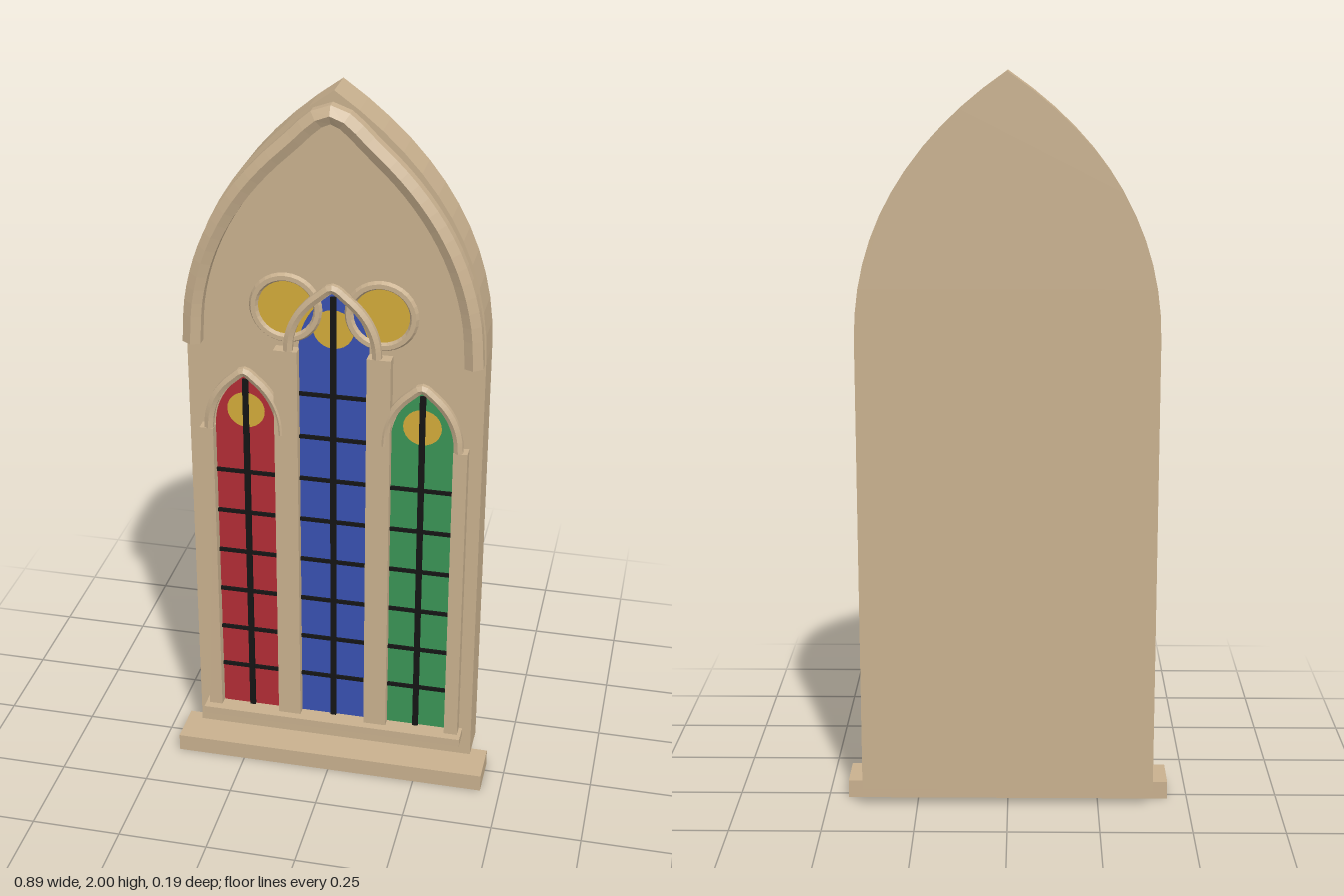
import * as THREE from 'three';

const paint = (name, color, extra = {}) => Object.assign(new THREE.MeshStandardMaterial({ color, ...extra }), { name });

export function createModel() {
  const stone = paint('stone', 0xc8b08e, { flatShading: true });
  const red = paint('red glass', 0xb22d35);
  const blue = paint('blue glass', 0x3850b0);
  const green = paint('green glass', 0x3a9455);
  const gold = paint('gold glass', 0xd2aa3a);
  const lead = paint('lead', 0x141414);

  const model = new THREE.Group();
  model.name = 'archedWindow';

  const add = (name, geometry, material, x = 0, y = 0, z = 0) => {
    const mesh = new THREE.Mesh(geometry, material);
    mesh.name = name;
    mesh.position.set(x, y, z);
    model.add(mesh);
    return mesh;
  };

  // Box given by its extents
  const block = (name, material, x0, x1, y0, y1, z0, z1) =>
    add(name, new THREE.BoxGeometry(x1 - x0, y1 - y0, z1 - z0), material, (x0 + x1) / 2, (y0 + y1) / 2, (z0 + z1) / 2);

  // Pointed arch panel: straight sides to the spring, then curves to the apex
  const archPanel = (name, material, x, half, base, spring, ctrl, apex, z0, z1) => {
    const s = new THREE.Shape();
    s.moveTo(-half, base);
    s.lineTo(half, base);
    s.lineTo(half, spring);
    s.quadraticCurveTo(half, ctrl, 0, apex);
    s.quadraticCurveTo(-half, ctrl, -half, spring);
    s.closePath();
    const g = new THREE.ExtrudeGeometry(s, { depth: z1 - z0, bevelEnabled: false, curveSegments: 12 });
    return add(name, g, material, x, 0, z0);
  };

  // Six-sided moulding following a pointed arch
  const archMoulding = (name, x, half, spring, ctrl, apex, radius, z) => {
    const right = new THREE.QuadraticBezierCurve(
      new THREE.Vector2(half, spring), new THREE.Vector2(half, ctrl), new THREE.Vector2(0, apex)).getPoints(6);
    const points = right.map(p => new THREE.Vector3(-p.x, p.y, 0));
    for (let i = right.length - 2; i >= 0; i--) points.push(new THREE.Vector3(right[i].x, right[i].y, 0));
    const path = new THREE.CatmullRomCurve3(points);
    add(name, new THREE.TubeGeometry(path, 40, radius, 6, false), stone, x, 0, z);

    // End caps on both feet
    for (const side of [-1, 1]) {
      const cap = add(name + 'Foot', new THREE.CircleGeometry(radius, 6), stone, x + side * half, spring, z);
      cap.rotation.set(Math.PI / 2, 0, Math.PI / 2);
    }
  };

  // Wall slab, sill and ledge
  archPanel('wallSlab', stone, 0, 0.4, 0.055, 1.31, 1.73, 2.0, -0.1, 0.006);
  block('sill', stone, -0.445, 0.445, 0, 0.05, -0.028, 0.095);
  block('ledge', stone, -0.375, 0.375, 0.12, 0.143, 0, 0.063);

  // Large hood moulding
  archMoulding('hoodMoulding', 0, 0.375, 1.305, 1.70, 1.952, 0.028, 0.035);

  // Jambs and mullions
  for (const side of [-1, 1]) {
    const m = block('mullion', stone, -0.032, 0.032, 0.14, 1.3, 0, 0.04);
    m.position.x = side * 0.125;
    const j = block('jamb', stone, -0.019, 0.019, 0.14, 1.05, 0, 0.04);
    j.position.x = side * 0.346;
  }

  // Lancet lights with leading, a gold disc and a small hood
  const lancets = [
    { name: 'left', glass: green, x: 0.24, half: 0.086, spring: 1.05, apex: 1.205, hood: 0.1, disc: 1.105, r: 0.052, bars: 6 },
    { name: 'centre', glass: blue, x: 0, half: 0.094, spring: 1.3, apex: 1.465, hood: 0.119, disc: 1.365, r: 0.055, bars: 8 },
    { name: 'right', glass: red, x: -0.24, half: 0.086, spring: 1.05, apex: 1.205, hood: 0.1, disc: 1.105, r: 0.052, bars: 6 },
  ];
  for (const l of lancets) {
    archPanel(l.name + 'Glass', l.glass, l.x, l.half, 0.14, l.spring, l.spring + 0.1, l.apex, 0.005, 0.014);
    archMoulding(l.name + 'Hood', l.x, l.hood, l.spring, l.spring + 0.115, l.apex + 0.02, 0.014, 0.029);
    add(l.name + 'Disc', new THREE.CircleGeometry(l.r, 24), gold, l.x, l.disc, 0.017);
    block(l.name + 'UprightLead', lead, l.x - 0.008, l.x + 0.008, 0.14, l.apex - 0.008, 0.012, 0.022);
    for (let i = 0; i < l.bars; i++) {
      const y = 0.275 + i * 0.128;
      block(l.name + 'CrossLead', lead, l.x - l.half, l.x + l.half, y - 0.005, y + 0.005, 0.012, 0.021);
    }
  }

  // Round lights with stone rings
  for (const side of [-1, 1]) {
    add('roundLight', new THREE.CircleGeometry(0.088, 32), gold, side * 0.127, 1.415, 0.01);
    add('roundLightRing', new THREE.TorusGeometry(0.086, 0.012, 6, 32), stone, side * 0.127, 1.415, 0.016);
  }

  return model;
}
